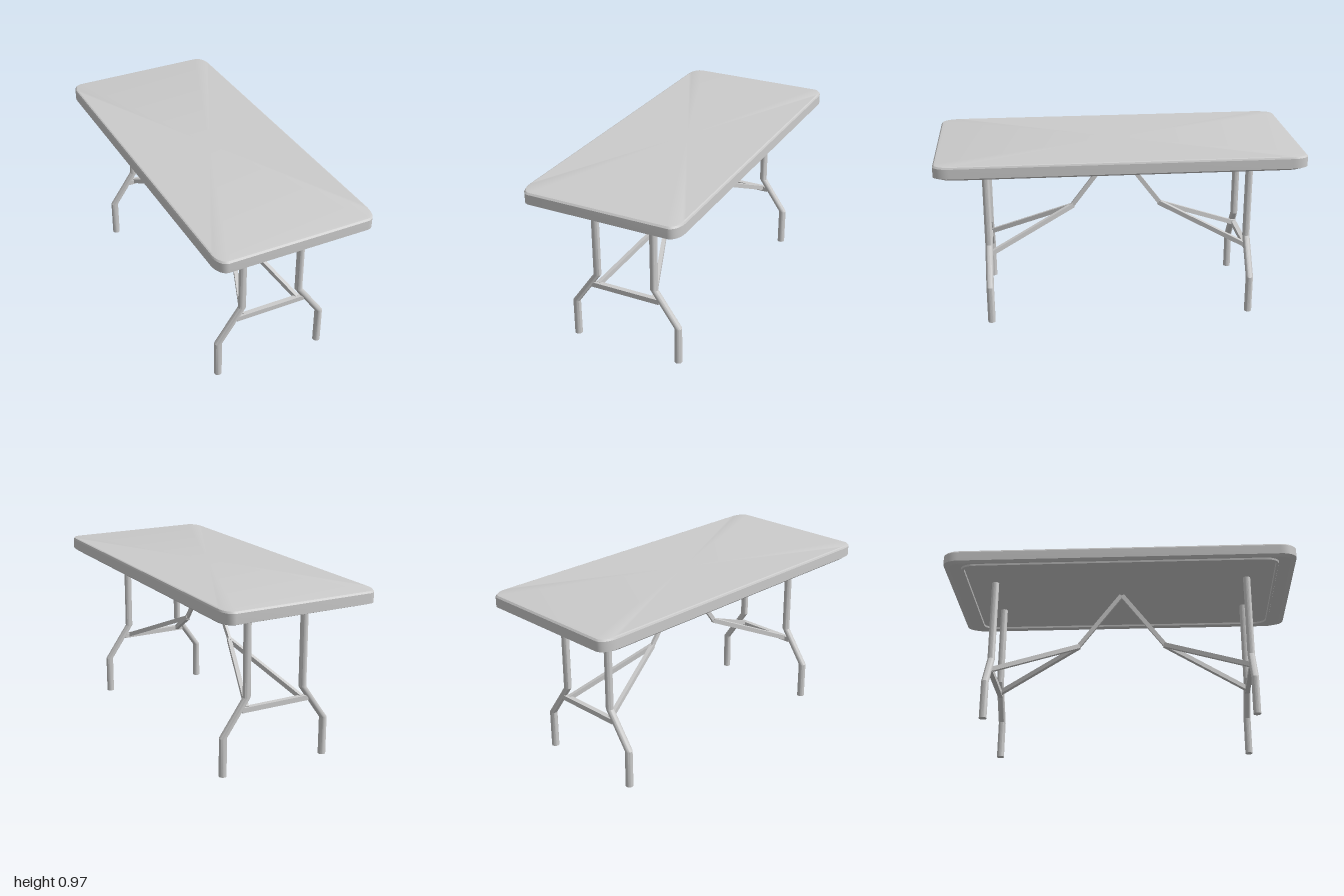
import * as THREE from 'three';
import { toCreasedNormals } from 'three/addons/utils/BufferGeometryUtils.js';

const grey = new THREE.MeshStandardMaterial({ color: 0xcccccc });

function addMesh(parent, geometry, name) {
  const mesh = new THREE.Mesh(geometry, grey);
  mesh.name = name;
  parent.add(mesh);
  return mesh;
}

// Outline of the top: a rectangle with elliptical corners
function outline(hx, hz, rx, rz, steps) {
  const points = [];
  for (let q = 0; q < 4; q++) {
    const sx = q === 0 || q === 3 ? 1 : -1;
    const sz = q < 2 ? 1 : -1;
    for (let i = 0; i <= steps; i++) {
      const a = (q + i / steps) * Math.PI / 2;
      points.push([sx * (hx - rx) + rx * Math.cos(a), sz * (hz - rz) + rz * Math.sin(a)]);
    }
  }
  return points;
}

// Skin scaled copies of the outline, from top centre round to underside centre
function topGeometry() {
  const loop = outline(0.445, 1, 0.055, 0.09, 8);
  const profile = [
    [0, 0.972], [0.977, 0.972], [0.992, 0.969], [1, 0.96],
    [1, 0.906], [0.97, 0.895], [0.905, 0.906], // side and lower bevel
    [0.902, 0.895], [0.89, 0.895], [0.887, 0.906], [0, 0.906], // lip and panel
  ];
  const positions = [], index = [], n = loop.length;
  for (const [s, y] of profile) for (const [x, z] of loop) positions.push(x * s, y, z * s);
  for (let i = 0; i < profile.length - 1; i++) {
    for (let j = 0; j < n; j++) {
      const k = (j + 1) % n;
      const a = i * n + j, d = i * n + k, b = a + n, c = d + n;
      if (i > 0) index.push(a, d, b);
      if (i < profile.length - 2) index.push(d, c, b);
      else continue;
    }
  }
  const g = new THREE.BufferGeometry();
  g.setAttribute('position', new THREE.Float32BufferAttribute(positions, 3));
  g.setIndex(index);
  return toCreasedNormals(g, 0.35);
}

// Cranked leg: a cylinder whose rows are moved to the bend heights
function legGeometry(side) {
  const rows = [[0.172, 0.907], [0.172, 0.415], [0.312, 0.215], [0.312, 0]];
  const g = new THREE.CylinderGeometry(0.021, 0.021, 3, 20, 3);
  const p = g.attributes.position;
  for (let i = 0; i < p.count; i++) {
    const [x, y] = rows[Math.round(1.5 - p.getY(i))];
    p.setXYZ(i, p.getX(i) + side * x, y, p.getZ(i));
  }
  return toCreasedNormals(g, 0.5);
}

// Rectangular bar between two points
function addBar(parent, from, to, width, depth, name) {
  const a = new THREE.Vector3(...from), b = new THREE.Vector3(...to);
  const bar = addMesh(parent, new THREE.BoxGeometry(width, depth, a.distanceTo(b)), name);
  bar.position.addVectors(a, b).multiplyScalar(0.5);
  bar.lookAt(b);
}

export function createModel() {
  const table = new THREE.Group();
  table.name = 'foldingTable';
  addMesh(table, topGeometry(), 'tableTop');

  for (const end of [1, -1]) {
    const frame = new THREE.Group();
    frame.name = end > 0 ? 'frontLegFrame' : 'backLegFrame';
    for (const side of [1, -1]) {
      const name = side > 0 ? 'left' : 'right';
      addMesh(frame, legGeometry(side), name + 'Leg').position.z = end * 0.735;
      // Folding brace from the crossbar to the hinge
      addBar(frame, [side * 0.168, 0.353, end * 0.73], [0, 0.567, end * 0.25], 0.022, 0.026, name + 'Brace');
    }
    addBar(frame, [-0.205, 0.349, end * 0.735], [0.205, 0.349, end * 0.735], 0.028, 0.028, 'crossbar');
    // Strut from the hinge to the middle of the underside
    addBar(frame, [0, 0.562, end * 0.258], [0, 0.9, end * 0.003], 0.015, 0.025, 'centreStrut');
    table.add(frame);
  }
  return table;
}
